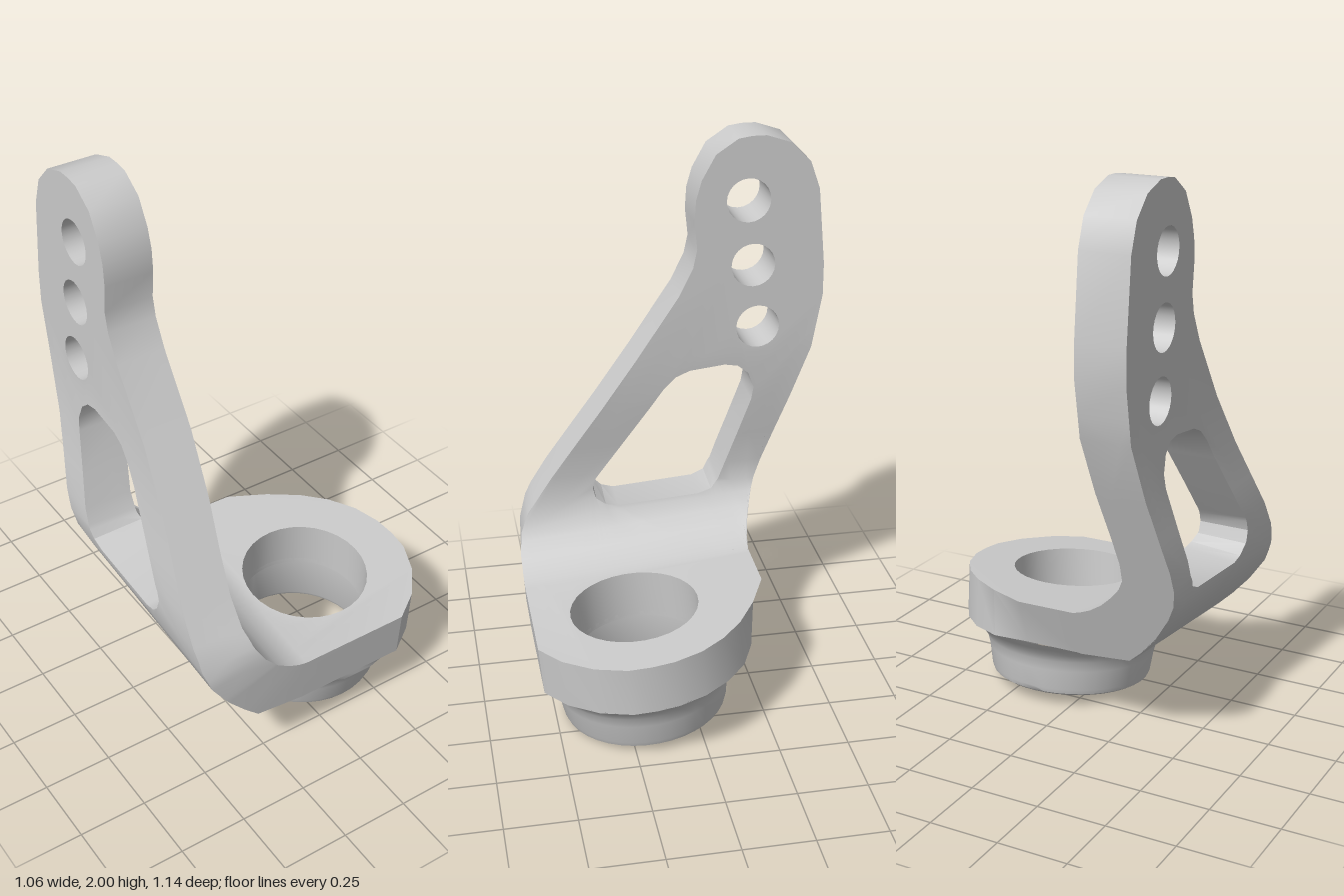
import * as THREE from 'three';
import { toCreasedNormals } from 'three/addons/utils/BufferGeometryUtils.js';

const TILT = 0.089; // slope of the base plate, rising towards the back

// Bend profile: [s, outer x, outer y, inner x, inner y], from arm top to plate end
const STATIONS = [
  [2.1, -0.47, 2.1, -0.29, 2.1],
  [1.2, -0.47, 1.2, -0.29, 1.2],
  [1.0, -0.487, 1.0, -0.307, 1.0],
  [0.85, -0.51, 0.85, -0.33, 0.85],
  [0.72, -0.53, 0.72, -0.346, 0.72],
  [0.62, -0.533, 0.62, -0.343, 0.62],
  [0.54, -0.522, 0.53, -0.323, 0.555],
  [0.46, -0.493, 0.45, -0.287, 0.495],
  [0.38, -0.43, 0.36, -0.24, 0.447],
  [0.30, -0.365, 0.288, -0.19, 0.415],
  [0.24, -0.31, 0.235, -0.15, 0.399],
  [0.12, -0.12, 0.213, -0.12, 0.392],
  [-0.6, 0.6, 0.21, 0.6, 0.39],
];

// Sloping plane that trims the back of the arm, bend and plate
const backLimit = (y) => -0.27 - (y - 0.47) * 0.362;

// Splits every triangle of a geometry at the given y levels
function sliceAtLevels(geometry, levels) {
  const p = geometry.attributes.position;
  let tris = [];
  for (let i = 0; i < p.count; i += 3) {
    tris.push([0, 1, 2].map((k) => new THREE.Vector3().fromBufferAttribute(p, i + k)));
  }
  for (const level of levels) {
    const next = [];
    for (const tri of tris) {
      for (const side of [1, -1]) {
        const poly = [];
        tri.forEach((a, k) => {
          const b = tri[(k + 1) % 3];
          const da = (a.y - level) * side, db = (b.y - level) * side;
          if (da >= 0) poly.push(a);
          if (da * db < 0) poly.push(a.clone().lerp(b, da / (da - db)));
        });
        if (poly.every((v) => Math.abs(v.y - level) < 1e-7)) continue;
        for (let k = 2; k < poly.length; k++) next.push([poly[0], poly[k - 1], poly[k]]);
      }
    }
    tris = next;
  }
  return new THREE.BufferGeometry().setFromPoints(tris.flat());
}

// Folds a point of the flat pattern (z, s, depth) into the bracket
function fold(v) {
  const { x: z, y: s, z: t } = v;
  let i = 0;
  while (i < STATIONS.length - 2 && s < STATIONS[i + 1][0]) i++;
  const a = STATIONS[i], b = STATIONS[i + 1];
  const f = (a[0] - s) / (a[0] - b[0]);
  const at = (k) => THREE.MathUtils.lerp(a[k], b[k], f);
  const w = 1 - THREE.MathUtils.smoothstep(s, 0.4, 0.8);
  const x = THREE.MathUtils.lerp(at(3), at(1), t);
  const y = THREE.MathUtils.lerp(at(4), at(2), t) + TILT * (0.57 - z) * w;
  v.set(x, y, Math.max(z - TILT * 0.18 * t * w, backLimit(y)));
}

function mapVertices(geometry, rule) {
  const p = geometry.attributes.position;
  const v = new THREE.Vector3();
  for (let i = 0; i < p.count; i++) {
    rule(v.fromBufferAttribute(p, i));
    p.setXYZ(i, v.x, v.y, v.z);
  }
  return geometry;
}

const points = (list) => list.map(([x, y]) => new THREE.Vector2(x, y));

function circle(x, y, r) {
  return new THREE.Path(new THREE.Path().absarc(x, y, r, 0, Math.PI * 2, true).getPoints(12));
}

export function createModel() {
  const group = new THREE.Group();
  const material = new THREE.MeshStandardMaterial({ color: 0xcccccc });

  // Flat pattern of arm and plate; the arm runs up, the plate down
  const pattern = new THREE.Shape(points([
    [0.57, -0.3], [0.57, 0.4], [0.56, 0.5], [0.53, 0.58], [-0.04, 1.43], [-0.09, 1.53],
    [-0.105, 1.6], [-0.095, 1.7], [-0.1, 1.78], [-0.12, 1.85], [-0.17, 1.94], [-0.25, 1.993],
    [-0.3, 2], [-0.35, 2], [-0.44, 1.97], [-0.51, 1.9], [-0.545, 1.8], [-0.57, 1.52],
    [-0.57, 1.4], [-0.548, 1.28], [-0.48, 0.9], [-0.42, 0.6], [-0.36, 0.3], [-0.3, 0.1],
    [-0.275, -0.1], [-0.205, -0.24], [-0.135, -0.35], [-0.06, -0.43], [0.03, -0.49],
    [0.13, -0.523], [0.21, -0.53], [0.29, -0.525], [0.4, -0.48], [0.5, -0.4],
  ]));

  // Three pivot holes, the rounded window and the bore
  pattern.holes.push(
    circle(-0.29, 1.77, 0.08), circle(-0.31, 1.53, 0.08), circle(-0.33, 1.295, 0.08),
    new THREE.Path(points([
      [0.27, 0.7], [0.282, 0.66], [0.27, 0.61], [0.235, 0.575], [0.19, 0.56], [-0.12, 0.565],
      [-0.17, 0.585], [-0.2, 0.64], [-0.315, 1.0], [-0.322, 1.05], [-0.3, 1.11], [-0.26, 1.143],
      [-0.21, 1.152], [-0.08, 1.137], [-0.03, 1.115], [0.015, 1.07],
    ])),
    new THREE.Path(new THREE.Path().absarc(0.205, -0.13, 0.23, 0, Math.PI * 2, true).getPoints(16)),
  );

  const flat = new THREE.ExtrudeGeometry(pattern, { depth: 1, bevelEnabled: false });
  const sheet = sliceAtLevels(flat, STATIONS.slice(1, -1).map((r) => r[0]));
  const bracket = new THREE.Mesh(toCreasedNormals(mapVertices(sheet, fold), 0.5), material);
  bracket.name = 'armAndPlate';
  group.add(bracket);

  // Hollow flared collar under the plate, trimmed flush with its front and back
  const collar = new THREE.LatheGeometry(points([
    [0.23, -0.165], [0.23, -0.185], [0.258, -0.19], [0.258, -0.385], [0.265, -0.4],
    [0.283, -0.4], [0.295, -0.392], [0.301, -0.375], [0.312, -0.3], [0.322, -0.26],
    [0.34, -0.23], [0.368, -0.203], [0.4, -0.176],
  ]), 40);
  mapVertices(collar, (v) => { v.z = Math.min(v.z, 0.364); });
  collar.rotateX(TILT).translate(0.13, 0.4225, 0.205);
  mapVertices(collar, (v) => { v.z = Math.max(v.z, backLimit(v.y)); });
  const collarMesh = new THREE.Mesh(toCreasedNormals(collar, 0.6), material);
  collarMesh.name = 'collar';
  group.add(collarMesh);

  return group;
}
